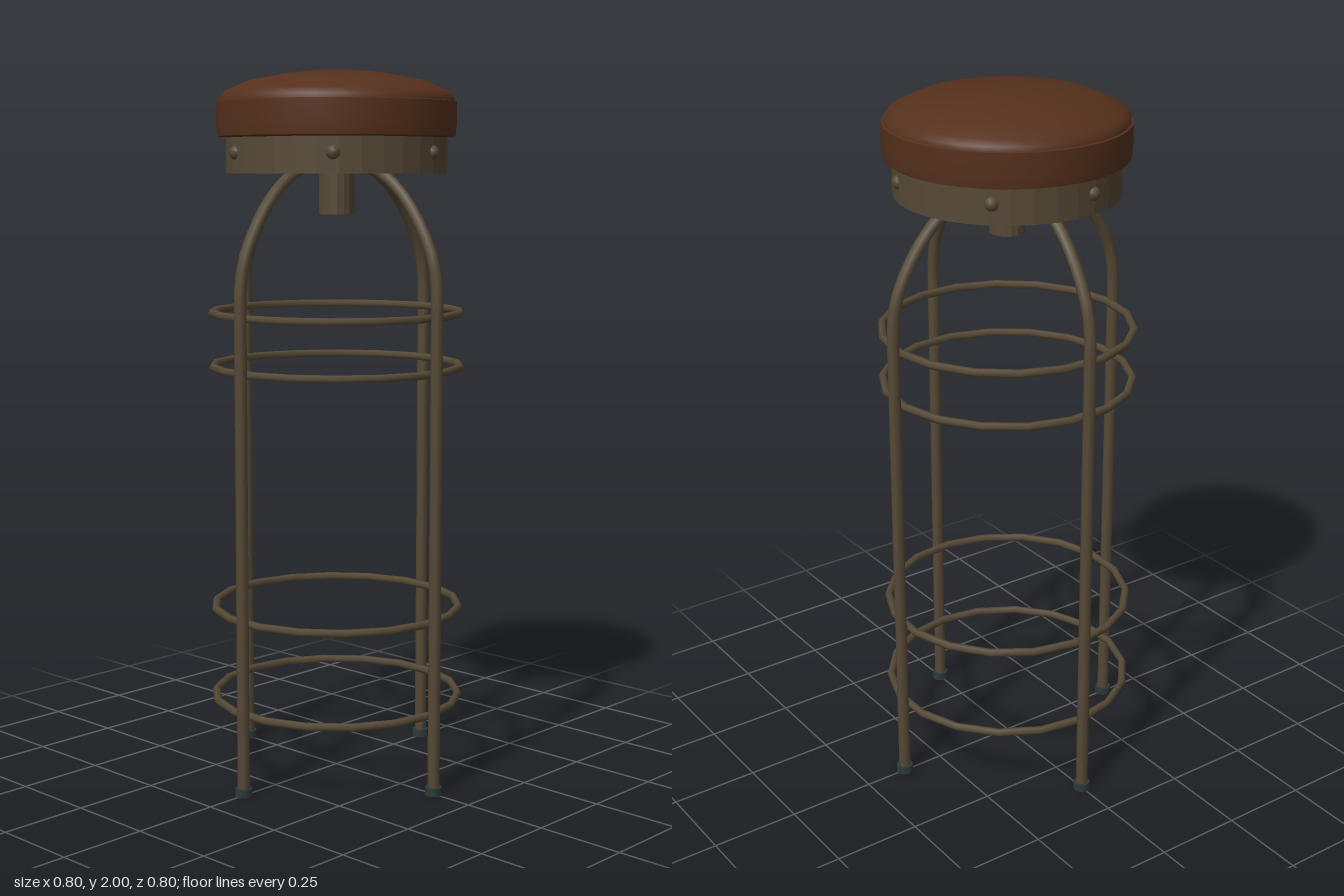
import * as THREE from 'three';

const material = (name, color, side = THREE.FrontSide) => {
  const m = new THREE.MeshStandardMaterial({ color, side });
  m.name = name;
  return m;
};

export function createModel() {
  const leather = material('brown leather', 0x55301c);
  const metal = material('aged bronze', 0x564936, THREE.DoubleSide);
  const rubber = material('dark rubber', 0x2c3838);
  const steel = material('dark steel', 0x3c424a);

  const stool = new THREE.Group();
  stool.name = 'barStool';
  const add = (name, geometry, mat, x = 0, y = 0, z = 0, parent = stool) => {
    const mesh = new THREE.Mesh(geometry, mat);
    mesh.name = name;
    mesh.position.set(x, y, z);
    parent.add(mesh);
    return mesh;
  };
  const lathe = (points, sides) =>
    new THREE.LatheGeometry(points.map(([r, y]) => new THREE.Vector2(r, y)), sides);

  // Cushion: flat underside, upright wall, and a shallow dome above the seam
  add('cushionUnderside', lathe([[0, 1.818], [0.332, 1.818]], 32), leather);
  add('cushionWall', lathe([[0.332, 1.818], [0.336, 1.85], [0.336, 1.912]], 32), leather);
  add('cushionSeam', lathe([[0.336, 1.912], [0.328, 1.914]], 32), leather);
  add('cushionTop', lathe([[0.33, 1.912], [0.328, 1.925], [0.314, 1.941], [0.25, 1.97],
    [0.15, 1.989], [0.07, 1.998], [0, 2]], 32), leather);

  // Hollow band under the cushion, with six domed rivets
  add('seatBand', lathe([[0.3, 1.716], [0.31, 1.716], [0.31, 1.814], [0.3, 1.814], [0.3, 1.716]], 32)
    .toNonIndexed(), metal).geometry.computeVertexNormals();
  const rivet = new THREE.SphereGeometry(0.02, 10, 8);
  for (const degrees of [-48, 12, 75, 137, 191, 250]) {
    const a = THREE.MathUtils.degToRad(degrees);
    add('rivet', rivet, metal, Math.sin(a) * 0.304, 1.772, Math.cos(a) * 0.304);
  }

  // Swivel plate and hollow stem
  add('swivelPlate', new THREE.BoxGeometry(0.25, 0.02, 0.25), steel, 0, 1.808, 0).rotation.y = Math.PI / 4;
  add('stem', lathe([[0.036, 1.8], [0.036, 1.603], [0.05, 1.603], [0.05, 1.8]], 16)
    .toNonIndexed(), metal).geometry.computeVertexNormals();

  // Four bent legs with rubber feet
  const path = new THREE.CurvePath();
  const bend = [[0.374, 0.01], [0.374, 1.395], [0.36, 1.48], [0.3, 1.595], [0.226, 1.678],
    [0.14, 1.73], [0.03, 1.752]].map(([x, y]) => new THREE.Vector3(x, y, 0));
  path.add(new THREE.LineCurve3(bend[0], bend[1]));
  path.add(new THREE.CatmullRomCurve3(bend.slice(1)));
  const legTube = new THREE.TubeGeometry(path, 40, 0.017, 8, false);
  const foot = new THREE.CylinderGeometry(0.024, 0.025, 0.022, 10);
  for (let i = 0; i < 4; i++) {
    const leg = new THREE.Group();
    leg.name = 'leg';
    leg.rotation.y = i * Math.PI / 2;
    add('legTube', legTube, metal, 0, 0, 0, leg);
    add('foot', foot, rubber, 0.374, 0.011, 0, leg);
    stool.add(leg);
  }

  // Four bracing rings
  const ring = new THREE.TorusGeometry(0.352, 0.0115, 6, 18).rotateX(Math.PI / 2);
  [1.328, 1.176, 0.484, 0.221].forEach((y, i) => {
    add('braceRing', ring, metal, 0, y, 0).rotation.y = i * 0.06;
  });

  return stool;
}
